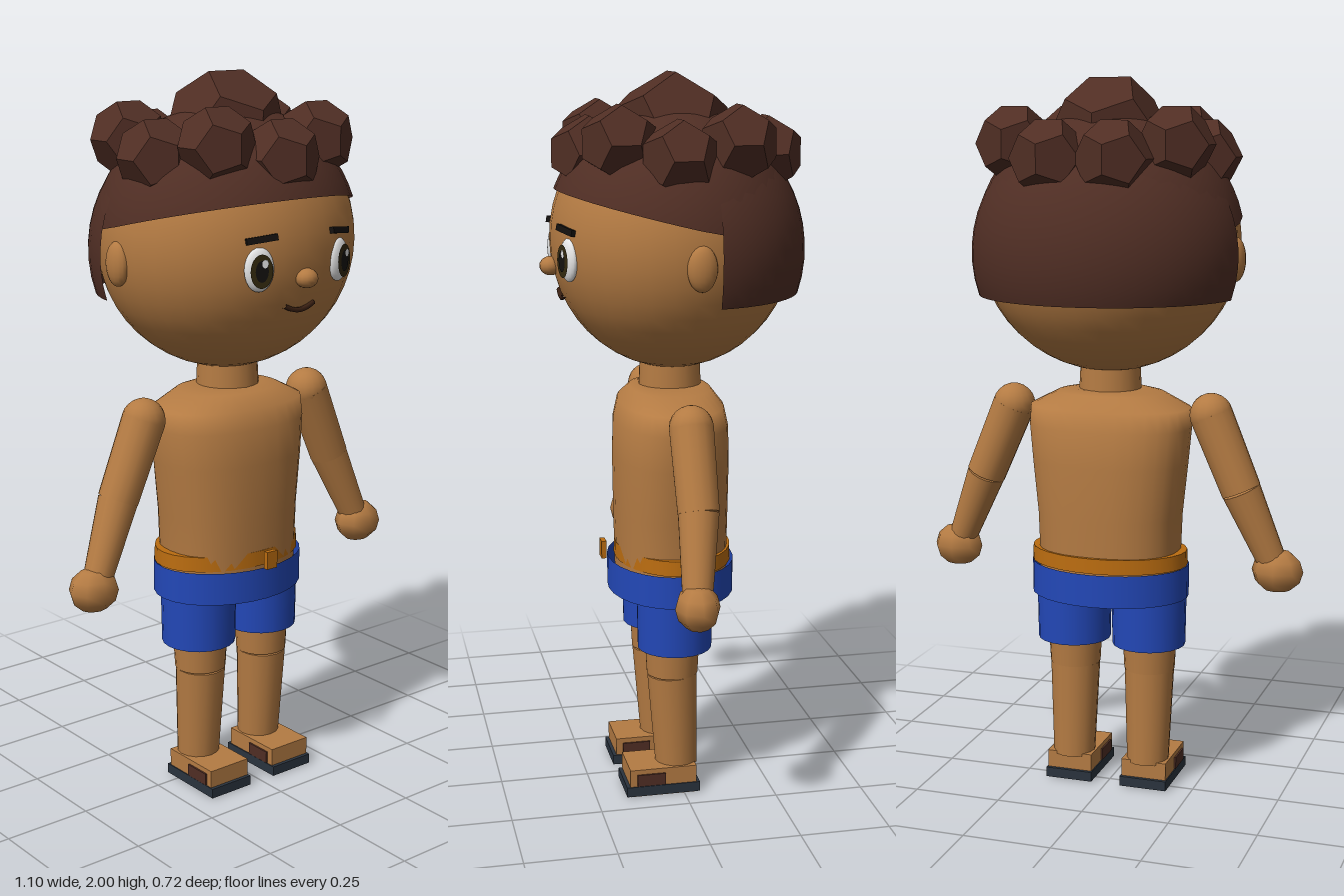
import * as THREE from 'three';
import { ParametricGeometry } from 'three/addons/geometries/ParametricGeometry.js';

const mat = (name, color, double) => {
  const m = new THREE.MeshStandardMaterial({ color });
  m.name = name;
  if (double) m.side = THREE.DoubleSide;
  return m;
};

export function createModel() {
  const skin = mat('skin', 0xb47b43);
  const hair = mat('hair brown', 0x502e24, true);
  const blue = mat('shorts blue', 0x2348b8, true);
  const orange = mat('belt orange', 0xba6c10);
  const dark = mat('sole slate', 0x2a333e);
  const white = mat('eye white', 0xe6e6e6);
  const iris = mat('iris', 0x33290f);
  const black = mat('black', 0x14110f);
  const lip = mat('mouth brown', 0x3a2012);

  const model = new THREE.Group();
  model.name = 'figure';

  const add = (name, geo, material, x = 0, y = 0, z = 0, parent = model) => {
    const m = new THREE.Mesh(geo, material);
    m.name = name;
    m.position.set(x, y, z);
    parent.add(m);
    return m;
  };
  const ball = (rx, ry, rz, w = 24, h = 16) => new THREE.SphereGeometry(1, w, h).scale(rx, ry, rz);
  const tube = (rTop, rBottom, h, depth = 1, open = false, n = 20) =>
    new THREE.CylinderGeometry(rTop, rBottom, h, n, 1, open).scale(1, 1, depth);
  // Tapered round limb between two points
  const limb = (name, a, b, ra, rb, parent) => {
    const p = new THREE.Vector3(...a), q = new THREE.Vector3(...b);
    const d = p.clone().sub(q);
    const mid = p.clone().add(q).multiplyScalar(0.5);
    const m = add(name, new THREE.CylinderGeometry(ra, rb, d.length(), 16), skin, mid.x, mid.y, mid.z, parent);
    m.quaternion.setFromUnitVectors(new THREE.Vector3(0, 1, 0), d.normalize());
    return m;
  };

  // Torso: rows of [y, half width, half depth], top to bottom, with squarish sections
  const rows = [[1.155, 0.001, 0.001], [1.155, 0.1, 0.085], [1.145, 0.15, 0.11], [1.105, 0.228, 0.14],
    [1.05, 0.23, 0.153], [0.95, 0.22, 0.157], [0.8, 0.204, 0.156], [0.6, 0.197, 0.152], [0.6, 0.001, 0.001]];
  const soft = (t) => Math.sign(t) * Math.abs(t) ** 0.85;
  const torso = new ParametricGeometry((u, v, out) => {
    const s = v * (rows.length - 1), i = Math.min(Math.floor(s), rows.length - 2);
    const [y, w, d] = rows[i].map((a, k) => a + (rows[i + 1][k] - a) * (s - i));
    const a = -u * Math.PI * 2;
    out.set(w * soft(Math.sin(a)), y, d * soft(Math.cos(a)) + 0.005);
  }, 32, rows.length - 1);
  add('torso', torso, skin);
  add('neck', tube(0.082, 0.088, 0.12), skin, 0, 1.19, 0.005);

  // Belt and shorts
  add('belt', tube(0.223, 0.225, 0.042, 0.72, false, 28), orange, 0, 0.68, 0);
  add('beltBuckle', new THREE.BoxGeometry(0.036, 0.05, 0.014), orange, 0, 0.685, 0.197);
  add('shortsWaist', tube(0.226, 0.226, 0.092, 0.78, true, 28), blue, 0, 0.612, 0.005);

  for (const s of [1, -1]) {
    const side = s > 0 ? 'left' : 'right';
    // Leg
    const leg = new THREE.Group();
    leg.name = side + 'Leg';
    leg.position.x = s * 0.112;
    model.add(leg);
    add('shortsLeg', tube(0.107, 0.104, 0.19, 1, true), blue, 0, 0.517, 0.015, leg);
    add('thigh', tube(0.085, 0.072, 0.25), skin, 0, 0.47, 0.022, leg);
    limb('shin', [0, 0.343, 0.022], [0, 0.07, 0.01], 0.071, 0.06, leg);
    // Foot with sole and side patches
    add('foot', new THREE.BoxGeometry(0.132, 0.08, 0.19), skin, 0, 0.04, 0.06, leg);
    add('sole', new THREE.BoxGeometry(0.138, 0.028, 0.21), dark, 0, 0.016, 0.06, leg);
    for (const t of [1, -1])
      add('shoePatch', new THREE.BoxGeometry(0.008, 0.034, 0.08), hair, t * 0.067, 0.049, 0.095, leg);

    // Arm
    const arm = new THREE.Group();
    arm.name = side + 'Arm';
    model.add(arm);
    const shoulder = [s * 0.29, 1.092, 0.008], elbow = [s * 0.378, 0.885, 0.008], wrist = [s * 0.466, 0.68, 0.03];
    add('shoulder', ball(0.06, 0.06, 0.06, 16, 12), skin, ...shoulder, arm);
    limb('upperArm', shoulder, elbow, 0.06, 0.056, arm);
    limb('forearm', elbow, wrist, 0.055, 0.04, arm);
    add('hand', ball(0.073, 0.062, 0.06, 8, 6), skin, s * 0.478, 0.66, 0.032, arm);
  }

  // Head
  const head = new THREE.Group();
  head.name = 'head';
  model.add(head);
  add('skull', ball(0.362, 0.352, 0.332, 32, 24), skin, 0, 1.557, 0, head);
  add('nose', ball(0.031, 0.026, 0.03, 14, 10), skin, 0, 1.49, 0.333, head);
  const smile = new THREE.CatmullRomCurve3([[-0.05, 1.418, 0.303], [-0.025, 1.407, 0.304], [0, 1.403, 0.304],
    [0.025, 1.407, 0.304], [0.05, 1.418, 0.303]].map((p) => new THREE.Vector3(...p)));
  add('mouth', new THREE.TubeGeometry(smile, 16, 0.007, 6), lip, 0, 0, 0, head);

  for (const s of [1, -1]) {
    add('ear', ball(0.026, 0.06, 0.04, 16, 12), skin, s * 0.357, 1.52, -0.005, head);
    // Eye: shallow white with flat layers in front
    const eye = new THREE.Group();
    eye.name = 'eye';
    eye.position.set(s * 0.135, 1.522, 0.303);
    eye.rotation.y = s * 0.3;
    head.add(eye);
    add('eyeWhite', ball(0.041, 0.058, 0.018, 20, 12), white, 0, 0, 0, eye);
    const disc = (name, rx, ry, m, x, y, z) =>
      add(name, new THREE.CircleGeometry(1, 24).scale(rx, ry, 1), m, x, y, z, eye);
    disc('iris', 0.031, 0.044, iris, 0, -0.002, 0.019);
    disc('pupil', 0.018, 0.028, black, 0, -0.002, 0.021);
    disc('eyeGlint', 0.009, 0.011, white, 0.008, 0.018, 0.023);
    const brow = add('eyebrow', new THREE.BoxGeometry(0.085, 0.017, 0.012), black, s * 0.132, 1.6, 0.31, head);
    brow.rotation.set(-0.15, s * 0.35, s * -0.06);
  }

  // Hair cap with a hairline that slopes down toward the ears
  const capY = 1.557;
  const cap = new ParametricGeometry((u, v, out) => {
    const a = -u * Math.PI * 2;
    let end = 1.3;
    for (let i = 0; i < 6; i++) {
      const z = 0.343 * Math.sin(end) * Math.cos(a);
      const edge = 1.605 + Math.max(0, z + 0.05) * 0.24;
      end = Math.acos((edge - capY) / 0.36);
    }
    const t = Math.max(v, 0.001) * end;
    out.set(0.371 * Math.sin(t) * Math.sin(a), capY + 0.36 * Math.cos(t), 0.343 * Math.sin(t) * Math.cos(a));
  }, 36, 12);
  add('hairCap', cap, hair, 0, 0, 0, head);

  // Back hair, cut straight behind the ears and at the nape
  const back = new ParametricGeometry((u, v, out) => {
    const start = Math.asin(0.055 / 0.362), end = Math.acos((1.415 - 1.53) / 0.37);
    const t = start + (end - start) * v;
    const off = Math.asin(Math.min(1, 0.055 / (0.362 * Math.sin(t))));
    const a = Math.PI + (0.5 - u) * (Math.PI - 2 * off);
    out.set(0.381 * Math.sin(t) * Math.sin(a), 1.53 + 0.37 * Math.cos(t), 0.362 * Math.sin(t) * Math.cos(a));
  }, 24, 14);
  add('backHair', back, hair, 0, 0, 0, head);

  // Chunky curls: one on the crown and a ring of nine
  add('crownCurl', new THREE.DodecahedronGeometry(0.165), hair, 0, 1.846, 0, head);
  for (let i = 0; i < 9; i++) {
    const a = (i / 9) * Math.PI * 2;
    const k = Math.min(i, 9 - i);
    add('curl', new THREE.DodecahedronGeometry(0.105), hair,
      0.26 * Math.sin(a), k % 2 ? 1.825 : 1.79, 0.24 * Math.cos(a) - 0.012, head);
  }
  return model;
}
